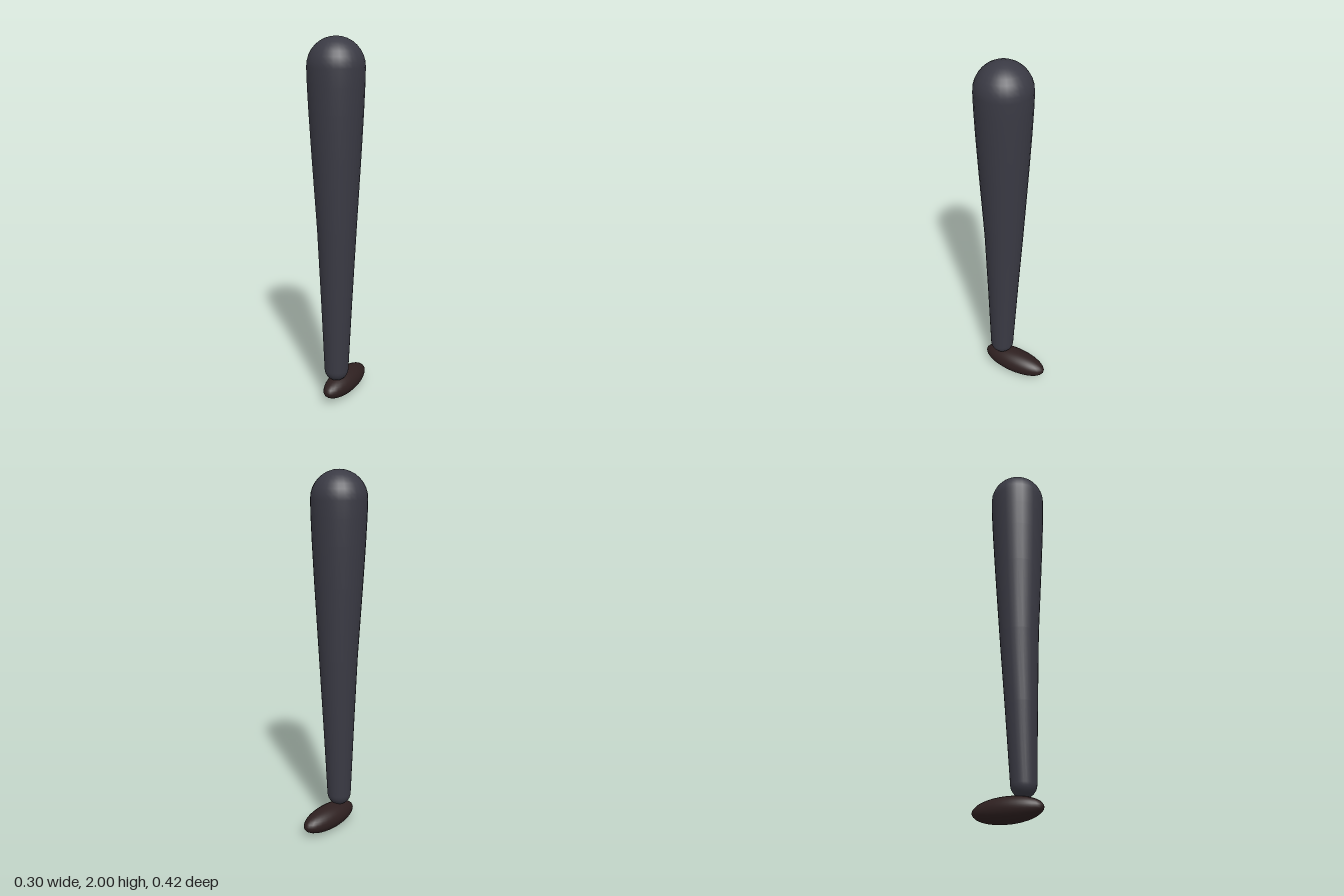
import * as THREE from 'three';

export function createModel() {
  const legColour = new THREE.MeshStandardMaterial({ color: 0x3a3a44 });
  legColour.name = 'charcoal';
  const footColour = new THREE.MeshStandardMaterial({ color: 0x2e2020 });
  footColour.name = 'dark brown';

  const model = new THREE.Group();
  model.name = 'leg';

  // Joints of the leg: centre and radius
  const hip = { x: 0, y: 1.85, z: 0.06, r: 0.15 };
  const knee = { x: 0.005, y: 1.0, z: 0.063, r: 0.106 };
  const ankle = { x: 0.011, y: 0.185, z: 0.08, r: 0.067 };

  // Profile from the rounded ankle, past the knee, to the domed hip
  const profile = [];
  const steps = 8;
  for (let i = 0; i <= steps; i++) {
    const a = (i / steps) * Math.PI / 2;
    profile.push(new THREE.Vector2(ankle.r * Math.sin(a), ankle.y - ankle.r * Math.cos(a)));
  }
  profile.push(
    new THREE.Vector2(0.086, 0.6),
    new THREE.Vector2(knee.r, knee.y),
    new THREE.Vector2(0.13, 1.4),
    new THREE.Vector2(0.142, 1.62),
    new THREE.Vector2(0.148, 1.76)
  );
  for (let i = 0; i <= steps; i++) {
    const a = (i / steps) * Math.PI / 2;
    profile.push(new THREE.Vector2(hip.r * Math.cos(a), hip.y + hip.r * Math.sin(a)));
  }
  const limbGeometry = new THREE.LatheGeometry(profile, 28);

  // Lean the turned shape along the line of the joints
  const p = limbGeometry.attributes.position;
  for (let i = 0; i < p.count; i++) {
    const y = p.getY(i);
    const [a, b] = y < knee.y ? [ankle, knee] : [knee, hip];
    const t = THREE.MathUtils.clamp((y - a.y) / (b.y - a.y), 0, 1);
    p.setX(i, p.getX(i) + THREE.MathUtils.lerp(a.x, b.x, t));
    p.setZ(i, p.getZ(i) + THREE.MathUtils.lerp(a.z, b.z, t));
  }
  const limb = new THREE.Mesh(limbGeometry, legColour);
  limb.name = 'limb';
  model.add(limb);

  // Foot: a long ellipsoid
  const footGeometry = new THREE.SphereGeometry(1, 28, 20);
  footGeometry.scale(0.075, 0.068, 0.198);
  const foot = new THREE.Mesh(footGeometry, footColour);
  foot.name = 'foot';
  foot.position.set(0.011, 0.069, -0.011);
  model.add(foot);

  return model;
}
